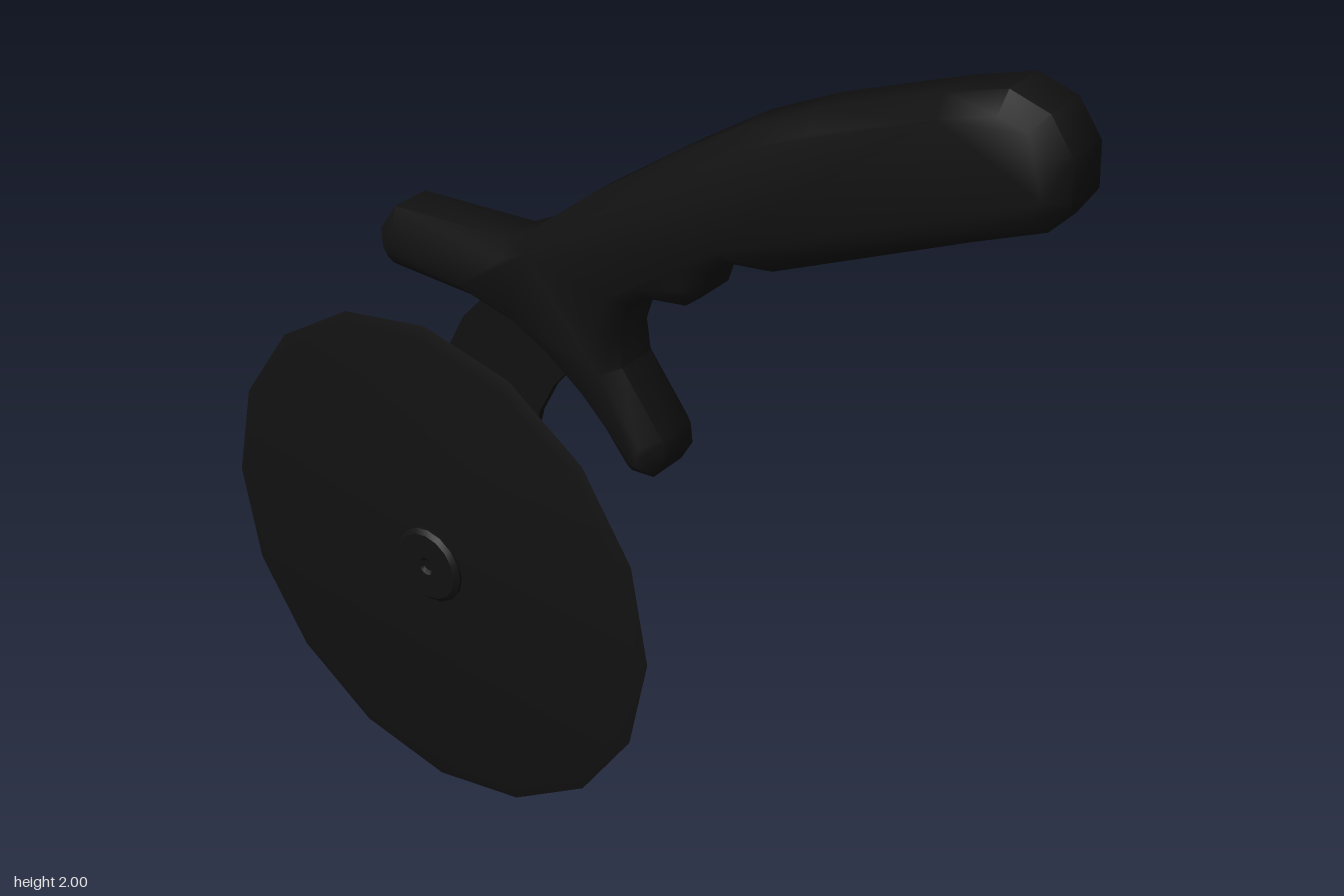
import * as THREE from 'three';
import { toCreasedNormals } from 'three/addons/utils/BufferGeometryUtils.js';

const HUB = [-0.41, 0.563];

export function createModel() {
  const group = new THREE.Group();
  const dark = new THREE.MeshStandardMaterial({ color: 0x111111 });

  const add = (name, geometry, crease = 0.6) => {
    const mesh = new THREE.Mesh(toCreasedNormals(geometry, crease), dark);
    mesh.name = name;
    group.add(mesh);
    return mesh;
  };
  const outline = (points) => new THREE.Shape(points.map(([x, y]) => new THREE.Vector2(x, y)));

  // Turned part on the wheel axis; profile is [radius, z] from back to front
  const turned = (name, profile, sides) => {
    const geo = new THREE.LatheGeometry(profile.map(([r, z]) => new THREE.Vector2(r, z)), sides);
    geo.rotateX(Math.PI / 2);
    add(name, geo).position.set(HUB[0], HUB[1], 0);
  };

  // Handle with finger guard: chamfered slab
  const handle = new THREE.ExtrudeGeometry(outline([
    // thumb rest and back of the grip
    [-0.49, 1.32], [-0.45, 1.38], [-0.175, 1.405], [-0.12, 1.435], [0.01, 1.545],
    [0.205, 1.69], [0.35, 1.79], [0.485, 1.86], [0.725, 1.96],
    // butt
    [0.84, 2], [0.915, 1.98], [0.96, 1.92], [0.965, 1.84], [0.93, 1.785],
    // finger hollow
    [0.8, 1.725], [0.42, 1.54], [0.33, 1.525], [0.285, 1.485], [0.27, 1.435], [0.24, 1.41],
    [0.16, 1.395], [0.11, 1.36], [0.09, 1.295], [0.1, 1.23],
    // lower guard
    [0.195, 1.11], [0.2, 1.07], [0.175, 1.025], [0.125, 1.02], [0.065, 1.09], [0.01, 1.14],
    [-0.07, 1.195], [-0.16, 1.235], [-0.265, 1.255], [-0.46, 1.255], [-0.485, 1.29],
  ].reverse()), {
    depth: 0.084, bevelEnabled: true, bevelThickness: 0.032, bevelSize: 0.032,
    bevelOffset: -0.032, bevelSegments: 1,
  });
  handle.translate(0, 0, -0.04);
  add('handle', handle, 0.9);

  // Flat arm behind the blade, curving up into the handle
  const arm = new THREE.ExtrudeGeometry(outline([
    [-0.27, 0.47], [-0.13, 1.03], [-0.095, 1.1], [-0.04, 1.17], [0.05, 1.26],
    [-0.15, 1.36], [-0.25, 1.25], [-0.32, 1.17], [-0.36, 1.09], [-0.53, 0.53],
    [-0.525, 0.475], [-0.495, 0.43], [-0.45, 0.408], [-0.39, 0.404], [-0.33, 0.413], [-0.29, 0.435],
  ]), { depth: 0.015, bevelEnabled: false });
  arm.translate(0, 0, -0.009);
  add('arm', arm);

  // Sixteen-sided blade with a sharpened rim
  turned('blade', [[0, 0.012], [0.53, 0.012], [0.558, 0.02], [0.53, 0.028], [0, 0.028]], 16);

  // Front hub with a small dimple, spacer and back rivet
  turned('frontHub', [[0.085, 0.02], [0.085, 0.034], [0.075, 0.042], [0.02, 0.042], [0.012, 0.036], [0, 0.036]], 16);
  turned('spacer', [[0, 0.004], [0.085, 0.004], [0.085, 0.014], [0, 0.014]], 16);
  turned('backRivet', [[0, -0.016], [0.055, -0.016], [0.062, -0.012], [0.062, 0]], 16);

  return group;
}
